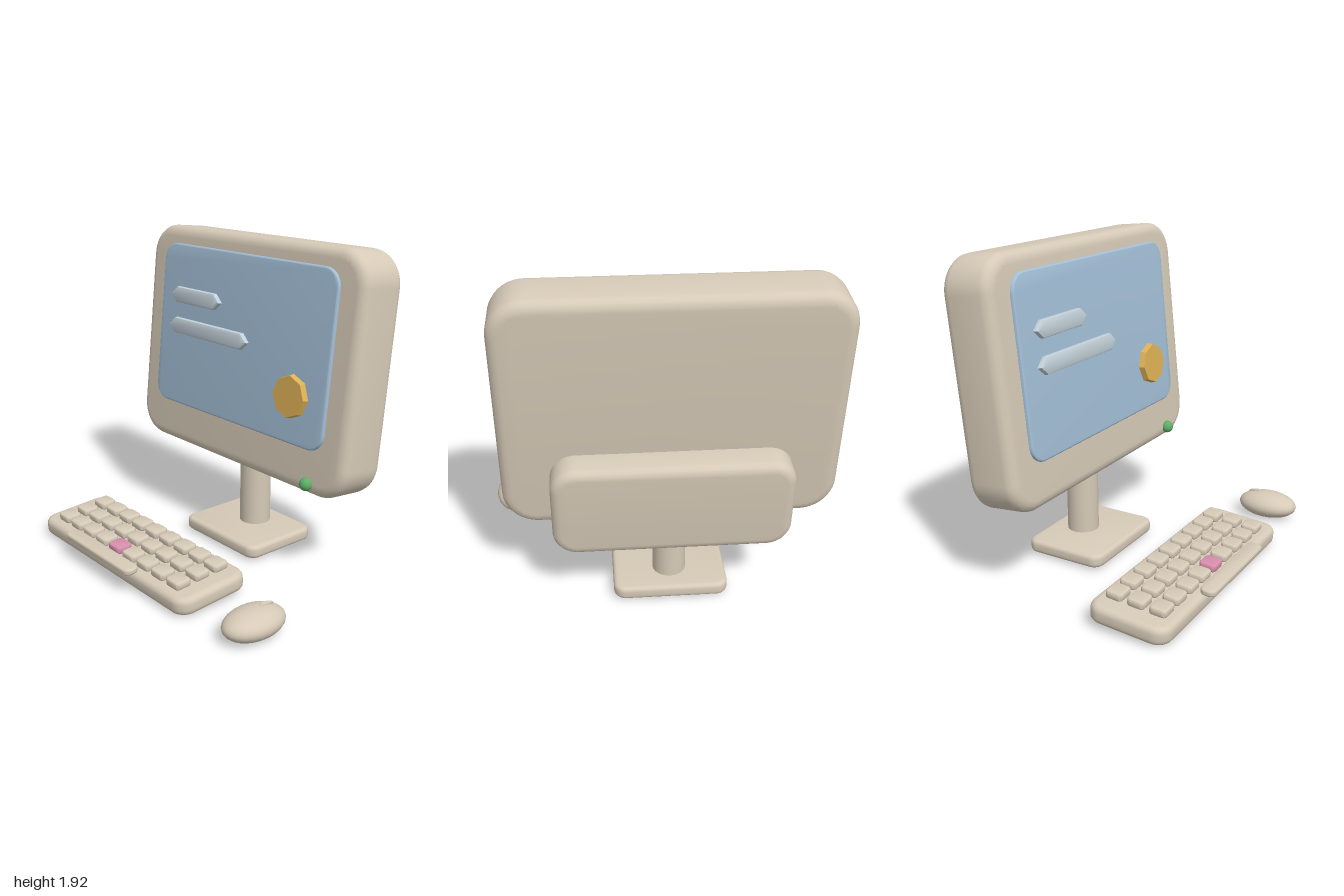
import * as THREE from 'three';
import { toCreasedNormals } from 'three/addons/utils/BufferGeometryUtils.js';

const paint = (name, color) => {
  const m = new THREE.MeshStandardMaterial({ color });
  m.name = name;
  return m;
};

// Outline with rounded corners, centred on the origin
function roundedRect(w, h, r) {
  const s = new THREE.Shape(), x = w / 2, y = h / 2;
  s.moveTo(-x + r, -y);
  s.lineTo(x - r, -y);
  s.absarc(x - r, -y + r, r, -Math.PI / 2, 0);
  s.lineTo(x, y - r);
  s.absarc(x - r, y - r, r, 0, Math.PI / 2);
  s.lineTo(-x + r, y);
  s.absarc(-x + r, y - r, r, Math.PI / 2, Math.PI);
  s.lineTo(-x, -y + r);
  s.absarc(-x + r, -y + r, r, Math.PI, Math.PI * 1.5);
  return s;
}

// Extrudes an outline along z with a soft edge b, total depth d
function softExtrude(shape, d, b, curveSegments = 6, bevelSegments = 4) {
  const g = new THREE.ExtrudeGeometry(shape, {
    depth: d - 2 * b, bevelEnabled: true, bevelSize: b, bevelThickness: b, bevelSegments, curveSegments,
  });
  g.translate(0, 0, b - d / 2);
  return toCreasedNormals(g, 0.6);
}

const slab = (w, h, d, r, b, segments) =>
  softExtrude(roundedRect(w - 2 * b, h - 2 * b, Math.max(r - b, 0.004)), d, b, segments);

// Slab lying flat: w along x, h along y, d along z
const flatSlab = (w, h, d, r, b, segments) => slab(w, d, h, r, b, segments).rotateX(-Math.PI / 2);

export function createModel() {
  const model = new THREE.Group();
  model.name = 'desktopComputer';

  const beige = paint('beige plastic', 0xd6cab7);
  const blue = paint('screen blue', 0xa3bfd7);
  const pale = paint('pale grey blue', 0xc3d0d9);
  const gold = paint('gold', 0xdcb055);
  const green = paint('light green', 0x5fae68);
  const pink = paint('pink key', 0xd78eac);

  const add = (parent, name, geometry, material, x, y, z) => {
    const mesh = new THREE.Mesh(geometry, material);
    mesh.name = name;
    mesh.position.set(x, y, z);
    parent.add(mesh);
    return mesh;
  };

  // Monitor, leaning back
  const monitor = new THREE.Group();
  monitor.name = 'monitor';
  monitor.position.set(-0.07, 1.213, -0.424);
  monitor.rotation.x = -0.1;
  model.add(monitor);
  add(monitor, 'monitorCase', slab(1.86, 1.395, 0.315, 0.2, 0.06), beige, 0, 0, 0);
  add(monitor, 'screen', slab(1.52, 1.025, 0.05, 0.11, 0.012), blue, 0, 0.075, 0.152);

  // Text bars with pointed ends
  for (const [length, x, y] of [[0.46, -0.4, 0.27], [0.73, -0.265, 0.073]]) {
    const b = 0.015, hx = length / 2 - b, hy = 0.05 - b;
    const outline = new THREE.Shape([
      [-hx, 0], [-hx + 0.04, -hy], [hx - 0.04, -hy], [hx, 0], [hx - 0.04, hy], [-hx + 0.04, hy],
    ].map(([px, py]) => new THREE.Vector2(px, py)));
    add(monitor, 'screenBar', softExtrude(outline, 0.05, b, 1, 2), pale, x, y, 0.182);
  }

  // Eight-sided disc on the screen
  const disc = new THREE.CylinderGeometry(0.122, 0.132, 0.05, 8).rotateX(Math.PI / 2);
  add(monitor, 'screenDisc', toCreasedNormals(disc, 0.3), gold, 0.5, -0.16, 0.187);

  // Power light and rear housing
  add(model, 'powerLight', new THREE.SphereGeometry(0.039, 16, 12), green, 0.598, 0.6, -0.193);
  const housing = add(model, 'rearHousing', slab(1.32, 0.575, 0.245, 0.14, 0.05), beige, -0.07, 0.69, -0.572);
  housing.rotation.x = -0.1;

  // Stand
  add(model, 'standNeck', new THREE.CylinderGeometry(0.097, 0.097, 0.55, 24), beige, -0.07, 0.345, -0.423);
  add(model, 'standBase', flatSlab(0.66, 0.08, 0.52, 0.07, 0.025), beige, -0.07, 0.055, -0.36);

  // Keyboard, raised at the back
  const keyboard = new THREE.Group();
  keyboard.name = 'keyboard';
  keyboard.position.set(-0.203, 0.078, 0.405);
  keyboard.rotation.x = 0.07;
  model.add(keyboard);
  add(keyboard, 'keyboardCase', flatSlab(1.465, 0.105, 0.485, 0.09, 0.035), beige, 0, 0, 0);
  const keyGeometry = flatSlab(0.115, 0.045, 0.105, 0.025, 0.012, 3);
  for (let row = 0; row < 3; row++) {
    for (let col = 0; col < 9; col++) {
      const accent = row === 2 && col === 4;
      add(keyboard, accent ? 'accentKey' : 'key', keyGeometry, accent ? pink : beige,
        (col - 4) * 0.1415, 0.074, (row - 1) * 0.133 - 0.005);
    }
  }
  add(keyboard, 'spaceBar', flatSlab(0.66, 0.038, 0.095, 0.04, 0.013), beige, 0, 0.09, 0.262);

  // Mouse with a small scroll wheel
  const mouse = new THREE.SphereGeometry(1, 24, 16).scale(0.13, 0.082, 0.195);
  add(model, 'mouse', mouse, beige, 0.866, 0.083, 0.435);
  const wheel = new THREE.SphereGeometry(1, 10, 8).scale(0.01, 0.016, 0.05);
  add(model, 'scrollWheel', wheel, beige, 0.866, 0.156, 0.348).rotation.x = -0.15;

  return model;
}
